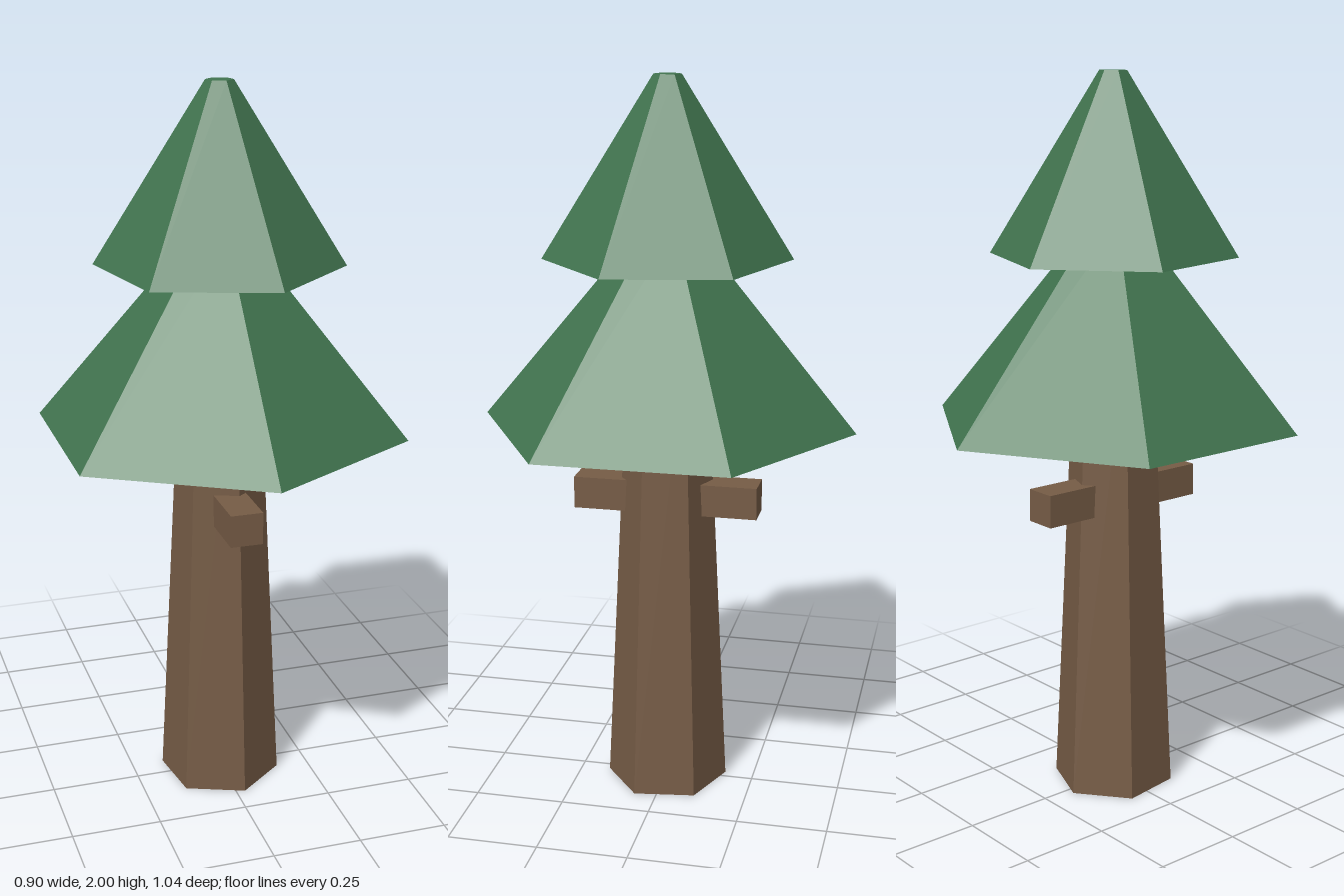
import * as THREE from 'three';

export function createModel() {
  const tree = new THREE.Group();
  tree.name = 'tree';
  const bark = new THREE.MeshStandardMaterial({ color: 0x765c46, flatShading: true });
  const leaves = new THREE.MeshStandardMaterial({ color: 0x41744f, flatShading: true });

  // Tapered six-sided solid from y0 to y1, turned by some degrees
  function hexTaper(name, material, rBottom, rTop, y0, y1, turn) {
    const geo = new THREE.CylinderGeometry(rTop, rBottom, y1 - y0, 6);
    const mesh = new THREE.Mesh(geo, material);
    mesh.name = name;
    mesh.position.y = (y0 + y1) / 2;
    mesh.rotation.y = THREE.MathUtils.degToRad(turn);
    tree.add(mesh);
  }

  hexTaper('trunk', bark, 0.17, 0.108, 0, 1.3, 8.5);
  hexTaper('lowerFoliage', leaves, 0.52, 0.07, 1.06, 1.6, 0);
  hexTaper('upperFoliage', leaves, 0.338, 0.037, 1.515, 2, 11.6);

  // Square branch stubs on the front and back of the trunk
  for (const [name, side] of [['frontBranch', 1], ['backBranch', -1]]) {
    const stub = new THREE.Mesh(new THREE.BoxGeometry(0.09, 0.09, 0.2), bark);
    stub.name = name;
    stub.position.set(-0.003, 0.855, side * 0.158);
    tree.add(stub);
  }

  return tree;
}
